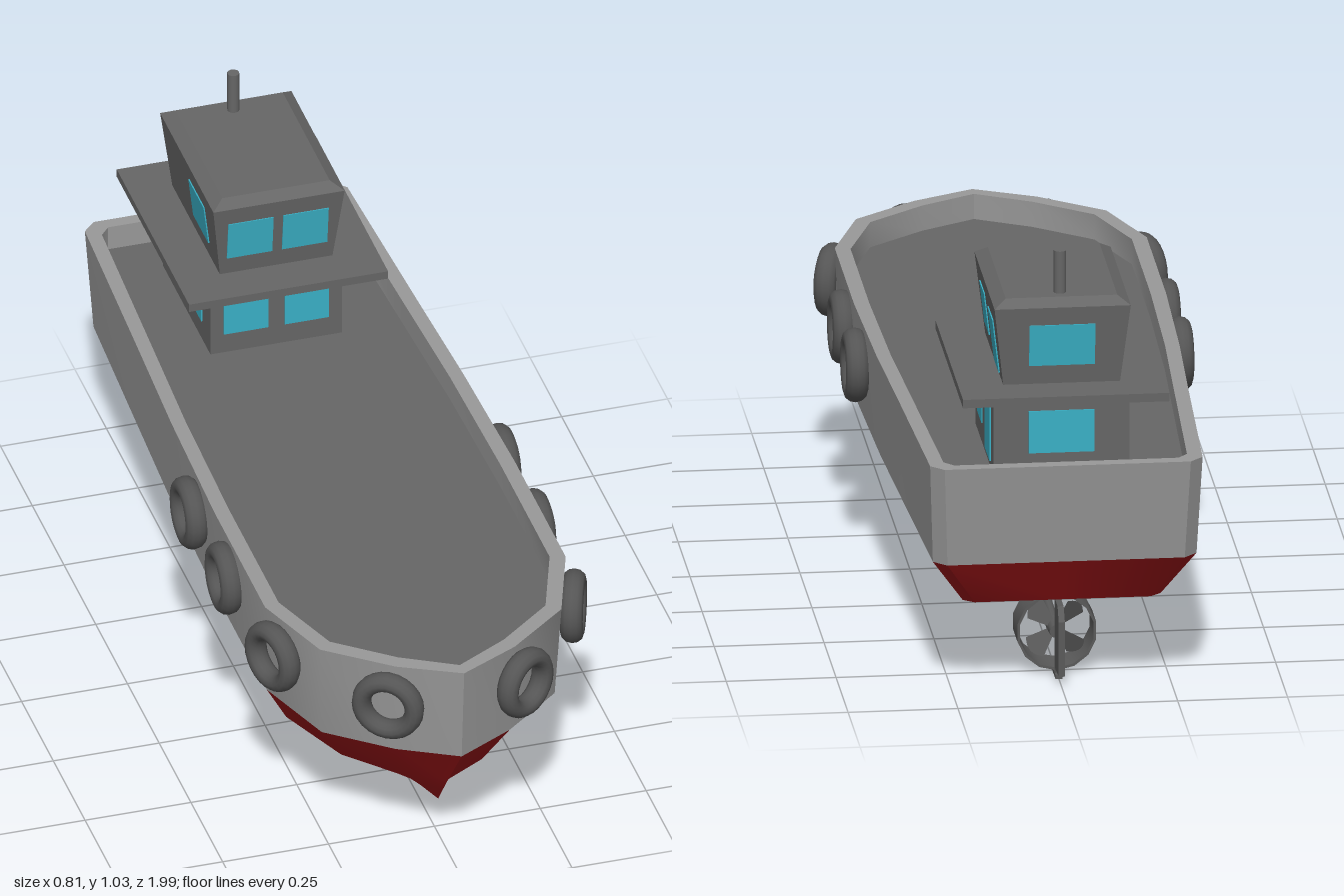
import * as THREE from 'three';
import { toCreasedNormals } from 'three/addons/utils/BufferGeometryUtils.js';

const mat = (color, side = THREE.FrontSide) => new THREE.MeshStandardMaterial({ color, side });
const hullGrey = mat(0x999999), red = mat(0x9c1518), dark = mat(0x666666);
const rubber = mat(0x555555), glass = mat(0x3ab0c6), metal = mat(0x5a5a5a, THREE.DoubleSide);

function add(parent, name, geometry, material, x = 0, y = 0, z = 0) {
  const m = new THREE.Mesh(geometry, material);
  m.name = name;
  m.position.set(x, y, z);
  parent.add(m);
  return m;
}

// Half outline (stern centre, +x side, bow) mirrored into a closed ring of points.
function ring(half, y) {
  const r = half.map(([x, z, h]) => [x, h ?? y, z]);
  const mirrored = r.slice(0, -1).reverse().map(([x, h, z]) => [-x, h, z]);
  return [...r, ...mirrored];
}

// Skin over successive rings.
function loft(rings, crease) {
  const pos = [];
  for (let r = 0; r < rings.length - 1; r++) {
    const p = rings[r], q = rings[r + 1];
    for (let i = 0; i < p.length - 1; i++) {
      pos.push(...p[i], ...p[i + 1], ...q[i], ...p[i + 1], ...q[i + 1], ...q[i]);
    }
  }
  const g = new THREE.BufferGeometry();
  g.setAttribute('position', new THREE.Float32BufferAttribute(pos, 3));
  return toCreasedNormals(g, crease);
}

// Box whose top has its own half width and half depth.
function taperedBox(bx, bz, tx, tz, h) {
  const g = new THREE.BoxGeometry(2, h, 2).toNonIndexed();
  const p = g.attributes.position;
  for (let i = 0; i < p.count; i++) {
    const top = p.getY(i) > 0;
    p.setX(i, p.getX(i) * (top ? tx : bx));
    p.setZ(i, p.getZ(i) * (top ? tz : bz));
  }
  g.computeVertexNormals();
  return g;
}

function buildHull(boat) {
  const outer = [[0, -1], [.28, -1], [.31, -.97], [.33, -.5], [.345, -.17], [.355, .2],
    [.355, .6], [.285, .8], [.14, .915], [0, .985]];
  const inner = [[0, -.97], [.255, -.97], [.277, -.945], [.297, -.5], [.312, -.17], [.32, .2],
    [.32, .59], [.255, .775], [.125, .88], [0, .95]];
  const knuckle = [[0, -.965], [.27, -.965], [.3, -.935], [.32, -.5], [.335, -.17], [.345, .2],
    [.345, .58], [.275, .78], [.135, .893], [0, .965]];
  const chine = [[0, -.89, .215], [.2, -.89, .215], [.225, -.87, .215], [.25, -.5, .205],
    [.27, -.17, .195], [.275, .2, .19], [.275, .5, .19], [.2, .68, .19], [.1, .79, .19], [0, .86, .2]];
  const bilge = [[0, -.89, .215], [.1, -.89, .215], [.11, -.87, .213], [.13, -.5, .19],
    [.16, -.17, .16], [.165, .2, .155], [.15, .48, .15], [.1, .64, .135], [.05, .73, .13], [0, .81, .135]];
  const keel = [[0, -.89, .215], [0, -.89, .215], [0, -.87, .213], [0, -.55, .18],
    [0, -.17, .09], [0, .2, .077], [0, .5, .066], [0, .66, .06], [0, .73, .08], [0, .78, .095]];
  const deckY = .51, railY = .57, waterY = .33;

  add(boat, 'deck', loft([ring(inner.map(([, z]) => [0, z]), deckY), ring(inner, deckY)], .5), dark);
  add(boat, 'upperHull', loft([ring(inner, deckY), ring(inner, railY), ring(outer, railY),
    ring(knuckle, waterY)], .7), hullGrey);
  add(boat, 'lowerHull', loft([ring(knuckle, waterY), ring(chine), ring(bilge), ring(keel)], .6), red);
}

function buildWheelhouse(boat) {
  const house = new THREE.Group();
  house.name = 'wheelhouse';
  house.position.z = -.684;
  boat.add(house);
  add(house, 'lowerCabin', new THREE.BoxGeometry(.31, .2, .374), dark, 0, .605);
  add(house, 'walkway', new THREE.BoxGeometry(.47, .02, .57), dark, 0, .715);
  add(house, 'upperCabin', taperedBox(.133, .187, .155, .21, .187), dark, 0, .8185);
  add(house, 'roof', taperedBox(.155, .21, .127, .185, .018), dark, 0, .921);
  add(house, 'funnel', new THREE.CylinderGeometry(.014, .014, .11, 12), dark, 0, .975, -.151);

  // Windows per wall: wall angle, [u, bottom, top, width] for each level
  const lean = .1156;
  const walls = [
    [0, .187, [[-.072, .56, .66, .105], [.072, .56, .66, .105], [-.065, .77, .87, .107], [.065, .77, .87, .107]]],
    [Math.PI / 2, .155, [[-.084, .56, .655, .09], [.081, .525, .655, .1], [-.084, .77, .87, .095], [.081, .735, .862, .1]]],
    [-Math.PI / 2, .155, [[.064, .56, .66, .12], [.064, .77, .87, .12]]],
    [Math.PI, .187, [[0, .56, .66, .15], [0, .77, .87, .15]]],
  ];
  for (const [angle, lowerDist, panes] of walls) {
    const wall = new THREE.Group();
    wall.name = 'windowWall';
    wall.rotation.y = angle;
    house.add(wall);
    for (const [u, y0, y1, w] of panes) {
      const y = (y0 + y1) / 2, upper = y > .72;
      const base = upper && lowerDist < .16 ? .133 : lowerDist;
      const dist = upper ? base + (y - .725) * Math.tan(lean) : base;
      const pane = add(wall, 'window', new THREE.BoxGeometry(w, y1 - y0, .006), glass, u, y, dist);
      if (upper) pane.rotation.x = lean;
    }
  }
}

function buildFenders(boat) {
  const tyre = new THREE.TorusGeometry(.063, .022, 12, 24);
  tyre.scale(1, 1, 1.2);
  // x, z and outward heading of each tyre
  const spots = [[.37, .05, Math.PI / 2], [.37, .325, Math.PI / 2], [.355, .66, 1.2], [.162, .925, .6]];
  for (const side of [1, -1]) {
    for (const [x, z, a] of spots) {
      add(boat, 'tyreFender', tyre, rubber, side * x, .475, z).rotation.y = side * a;
    }
  }
}

function buildDrive(boat) {
  const drive = new THREE.Group();
  drive.name = 'drive';
  boat.add(drive);

  // Shaft, its bracket and the hub
  const a = new THREE.Vector3(0, .125, -.2), b = new THREE.Vector3(0, .098, -.76);
  add(drive, 'propellerShaft', new THREE.TubeGeometry(new THREE.LineCurve3(a, b), 1, .011, 10), metal);
  add(drive, 'shaftBracket', new THREE.BoxGeometry(.014, .1, .045), metal, 0, .145, -.57);
  add(drive, 'propellerHub', new THREE.CylinderGeometry(.016, .02, .06, 12), metal, 0, .098, -.74)
    .rotation.x = -Math.PI / 2;

  // Thin nozzle ring
  const wall = [[.086, -.043], [.092, -.043], [.092, .043], [.086, .043], [.086, -.043]]
    .map(([r, y]) => new THREE.Vector2(r, y));
  add(drive, 'nozzle', toCreasedNormals(new THREE.LatheGeometry(wall, 14), .6), metal, 0, .098, -.728)
    .rotation.x = Math.PI / 2;

  // Pitched blades
  const blade = new THREE.Shape();
  blade.moveTo(-.008, .01);
  blade.lineTo(-.03, .065);
  blade.quadraticCurveTo(0, .092, .03, .065);
  blade.lineTo(.008, .01);
  for (let i = 0; i < 4; i++) {
    const arm = new THREE.Group();
    arm.name = 'propellerBlade';
    arm.position.set(0, .098, -.735);
    arm.rotation.z = Math.PI / 4 + i * Math.PI / 2;
    drive.add(arm);
    add(arm, 'blade', new THREE.ShapeGeometry(blade), metal).rotation.y = .5;
  }

  // Rudder: outline drawn in z and y, then turned into the centre plane
  const s = new THREE.Shape([[.79, .02], [.875, .025], [.875, .155], [.85, .185], [.79, .185]]
    .map(([x, y]) => new THREE.Vector2(x, y)));
  const plate = new THREE.ExtrudeGeometry(s, { depth: .014, bevelEnabled: false });
  plate.translate(0, 0, -.007);
  add(drive, 'rudder', plate, metal).rotation.y = Math.PI / 2;
  add(drive, 'rudderStock', new THREE.CylinderGeometry(.008, .008, .215, 10), metal, 0, .1125, -.795);
  add(drive, 'rudderShoe', new THREE.BoxGeometry(.016, .01, .12), metal, 0, .005, -.755);
}

export function createModel() {
  const boat = new THREE.Group();
  boat.name = 'tugboat';
  buildHull(boat);
  buildWheelhouse(boat);
  buildFenders(boat);
  buildDrive(boat);
  return boat;
}
